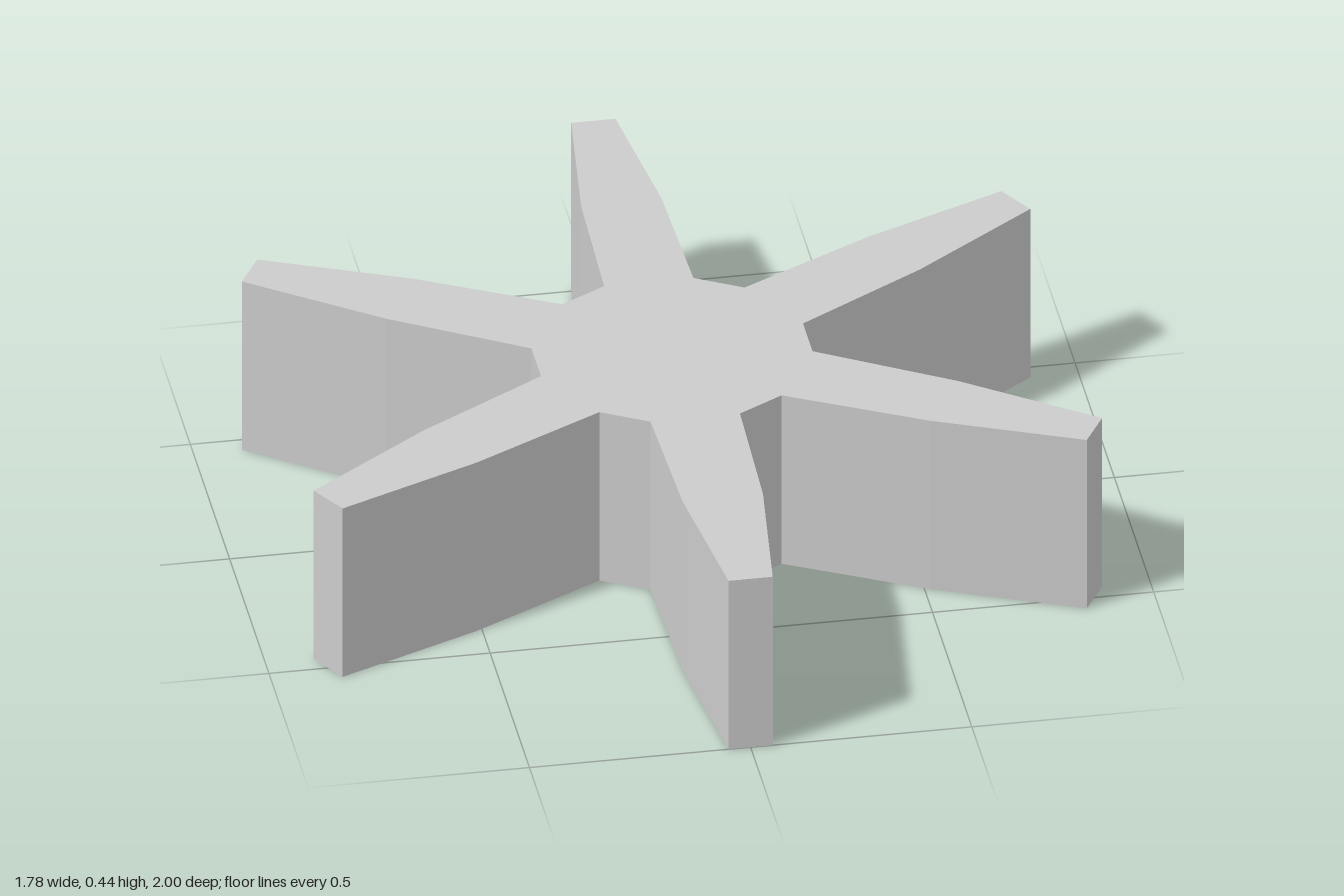
import * as THREE from 'three';

const HEIGHT = 0.438;
const ARMS = 6;
// Half outline of one arm: [distance from centre, half width]
const ARM = [[0.296, 0.101], [0.645, 0.091], [1, 0.05]];

export function createModel() {
  const group = new THREE.Group();
  group.name = 'sixArmStar';

  // Full outline of one arm, up one side and down the other
  const side = ARM.map(([r, w]) => new THREE.Vector2(r, -w));
  const otherSide = ARM.map(([r, w]) => new THREE.Vector2(r, w)).reverse();
  const arm = [...side, ...otherSide];

  // Repeat the arm around the centre; the gaps become the short hub faces
  const outline = [];
  const origin = new THREE.Vector2();
  for (let i = 0; i < ARMS; i++) {
    const angle = Math.PI / 2 + (i * Math.PI * 2) / ARMS;
    for (const p of arm) outline.push(p.clone().rotateAround(origin, angle));
  }

  // Extrude upward from the ground
  const geometry = new THREE.ExtrudeGeometry(new THREE.Shape(outline), {
    depth: HEIGHT,
    bevelEnabled: false,
  });
  geometry.rotateX(-Math.PI / 2);

  const material = new THREE.MeshStandardMaterial({ color: 0xcccccc, flatShading: true });
  const body = new THREE.Mesh(geometry, material);
  body.name = 'starBody';
  group.add(body);
  return group;
}
